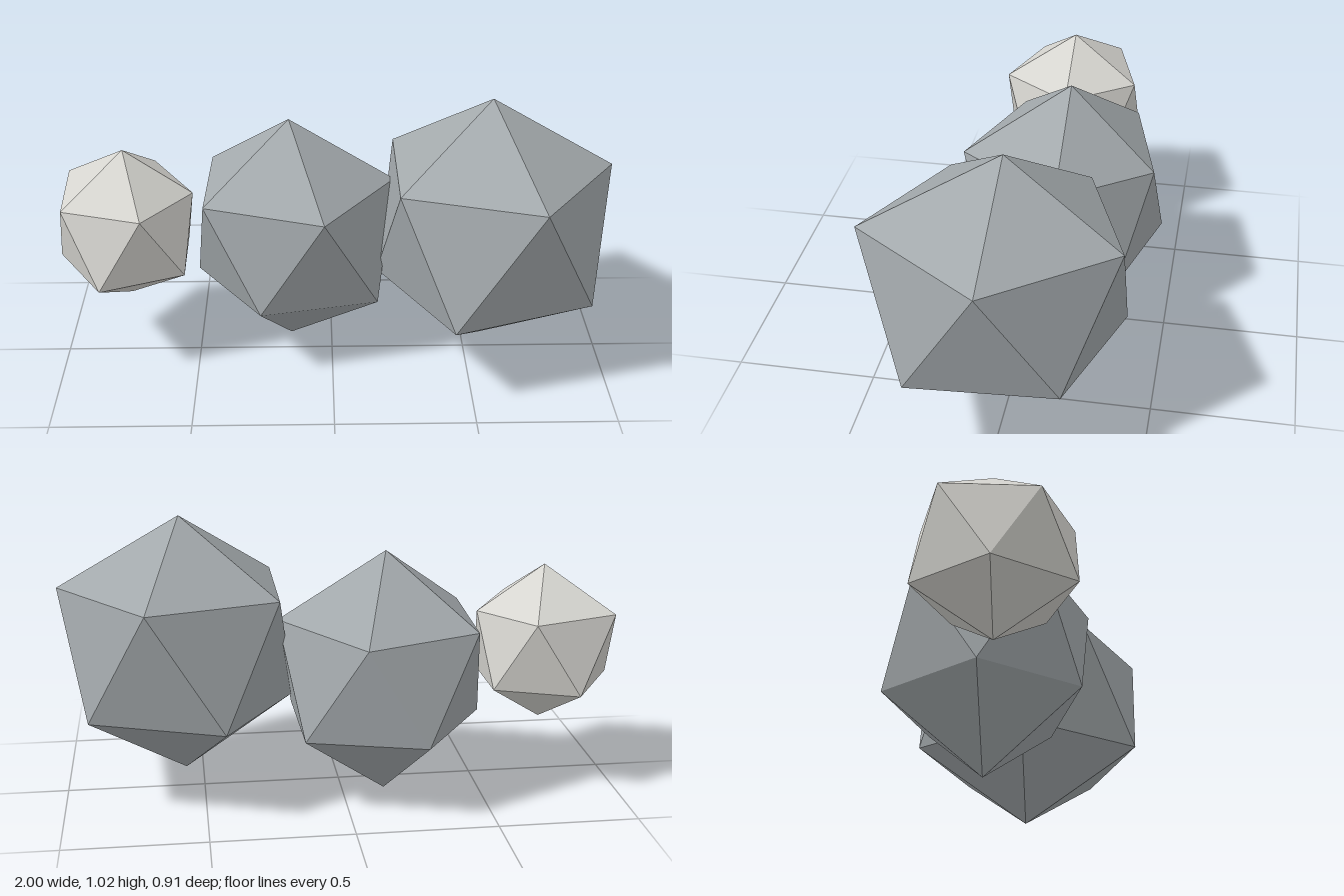
import * as THREE from 'three';

// A faceted boulder: two poles joined by two staggered rings of five corners.
// Ring corners are [x, y, z], running from +x towards +z.
function boulder(name, material, top, upper, lower, bottom) {
  const points = [];
  const face = (...corners) => corners.forEach((c) => points.push(...c));
  for (let i = 0; i < 5; i++) {
    const j = (i + 1) % 5;
    face(top, upper[j], upper[i]);
    face(upper[i], upper[j], lower[i]);
    face(upper[j], lower[j], lower[i]);
    face(lower[i], lower[j], bottom);
  }
  const geometry = new THREE.BufferGeometry();
  geometry.setAttribute('position', new THREE.Float32BufferAttribute(points, 3));
  geometry.computeVertexNormals(); // unshared corners give flat facets
  const mesh = new THREE.Mesh(geometry, material);
  mesh.name = name;
  return mesh;
}

export function createModel() {
  const greyStone = new THREE.MeshStandardMaterial({ color: 0xa3a9ac });
  greyStone.name = 'greyStone';
  const paleStone = new THREE.MeshStandardMaterial({ color: 0xd6d5d0 });
  paleStone.name = 'paleStone';

  const group = new THREE.Group();
  group.name = 'rockCluster';

  group.add(boulder('largeRock', greyStone,
    [0.565, 1.02, 0.0],
    [[1.0, 0.77, 0.01], [0.705, 0.79, 0.455], [0.23, 0.76, 0.25], [0.23, 0.76, -0.24], [0.69, 0.77, -0.405]],
    [[0.92, 0.335, 0.27], [0.42, 0.327, 0.44], [0.165, 0.345, 0.01], [0.43, 0.34, -0.4], [0.9, 0.345, -0.24]],
    [0.565, 0.07, 0.01]));

  group.add(boulder('mediumRock', greyStone,
    [-0.155, 0.9, -0.11],
    [[0.23, 0.66, -0.11], [-0.03, 0.66, 0.265], [-0.46, 0.655, 0.11], [-0.45, 0.65, -0.33], [-0.05, 0.63, -0.43]],
    [[0.165, 0.27, 0.12], [-0.26, 0.285, 0.235], [-0.5, 0.29, -0.11], [-0.26, 0.28, -0.455], [0.155, 0.275, -0.33]],
    [-0.155, 0.0, -0.11]));

  group.add(boulder('smallRock', paleStone,
    [-0.75, 0.815, -0.04],
    [[-0.505, 0.645, -0.035], [-0.67, 0.655, 0.22], [-0.96, 0.65, 0.12], [-0.975, 0.66, -0.2], [-0.665, 0.655, -0.29]],
    [[-0.535, 0.39, 0.12], [-0.83, 0.385, 0.23], [-1.0, 0.395, -0.035], [-0.83, 0.39, -0.3], [-0.54, 0.39, -0.19]],
    [-0.75, 0.23, -0.04]));

  return group;
}
